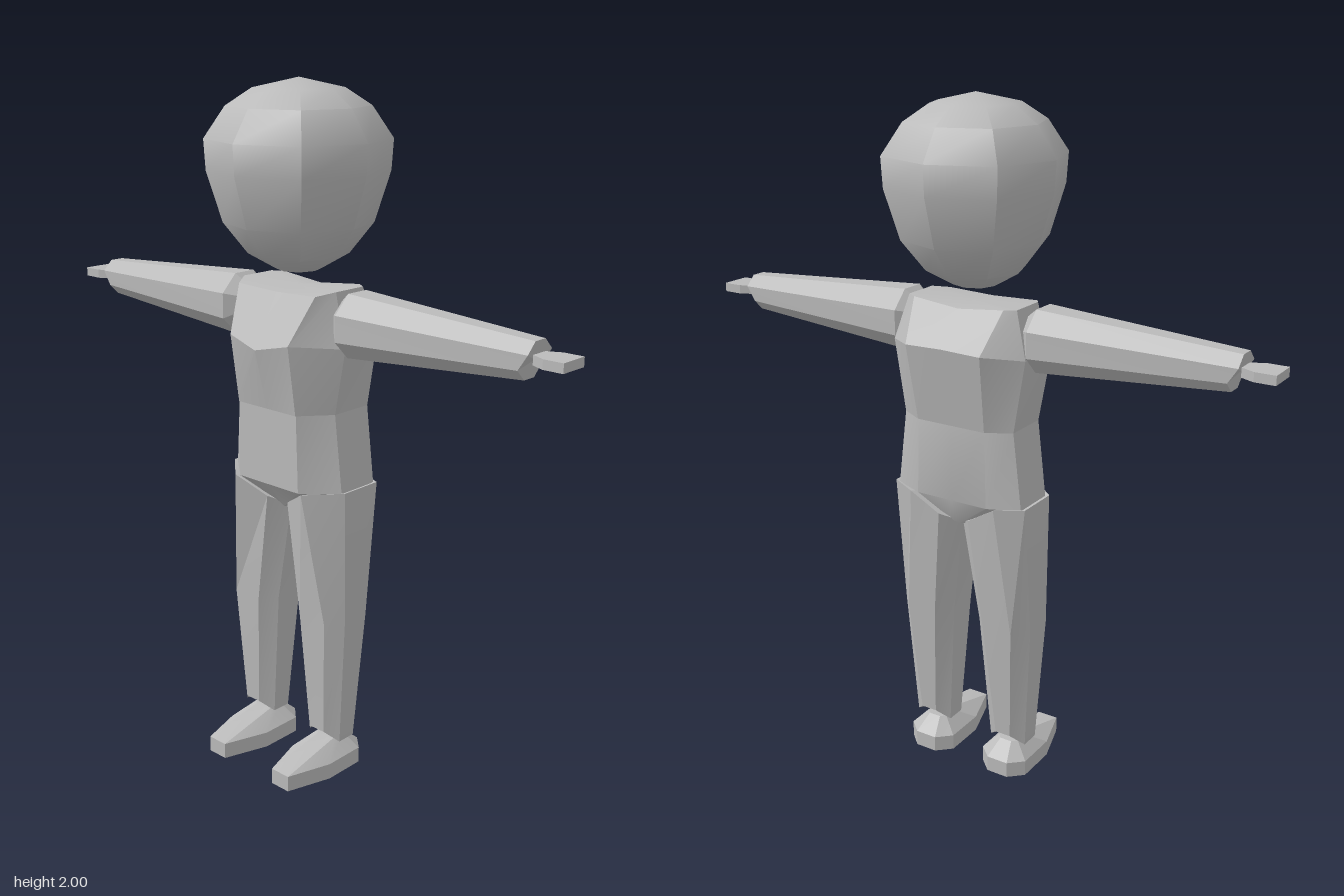
import * as THREE from 'three';
import { toCreasedNormals } from 'three/addons/utils/BufferGeometryUtils.js';

const skin = new THREE.MeshStandardMaterial({ color: 0xbbbbbb });
skin.name = 'plain grey';

// Skin a list of equal-length rings (counter-clockwise about the loft axis), closed by fans.
function loft(rings, crease = 0.3, lowTip, highTip) {
  const out = [];
  const tri = (a, b, c) => out.push(...a, ...b, ...c);
  const middle = ring => [0, 1, 2].map(k => ring.reduce((s, p) => s + p[k], 0) / ring.length);
  const n = rings[0].length;
  const first = rings[0], last = rings[rings.length - 1];
  const low = lowTip || middle(first), high = highTip || middle(last);
  for (let i = 0; i < n; i++) {
    const j = (i + 1) % n;
    for (let r = 0; r < rings.length - 1; r++) {
      const a = rings[r], b = rings[r + 1];
      tri(a[i], a[j], b[j]);
      tri(a[i], b[j], b[i]);
    }
    tri(first[j], first[i], low);
    tri(last[i], last[j], high);
  }
  const geo = new THREE.BufferGeometry();
  geo.setAttribute('position', new THREE.Float32BufferAttribute(out, 3));
  return toCreasedNormals(geo, crease);
}

// Complete a half ring that starts and ends on the centre line.
const fullRing = half => [...half, ...half.slice(1, -1).reverse().map(([x, y, z]) => [-x, y, z])];
// Mirror rings across x and keep them facing outwards.
const mirror = rings => rings.map(r => r.map(([x, y, z]) => [-x, y, z]).reverse());

export function createModel() {
  const model = new THREE.Group();
  model.name = 'figure';
  const add = (name, geo) => {
    const mesh = new THREE.Mesh(geo, skin);
    mesh.name = name;
    model.add(mesh);
  };
  const addPair = (name, rings, crease) => {
    add(name + 'Left', loft(rings, crease));
    add(name + 'Right', loft(mirror(rings), crease));
  };

  // Head: eight-sided ball, widest at the brow
  const headProfile = [[0.06, 1.487], [0.135, 1.53], [0.2, 1.615], [0.242, 1.755],
    [0.247, 1.84], [0.19, 1.926], [0.12, 1.973]];
  const headRings = headProfile.map(([r, y]) => Array.from({ length: 8 }, (_, i) => {
    const a = i * Math.PI / 4, q = i % 2 ? r * 1.04 : r;
    return [q * Math.sin(a), y, q * Math.cos(a)];
  }));
  add('head', loft(headRings, 0.62, [0, 1.475, 0], [0, 2, 0]));

  // Chest: swells forward and back, then narrows to the shoulders
  add('chest', loft([
    [[0, 1.11, 0.13], [0.11, 1.11, 0.13], [0.18, 1.11, 0.045], [0.18, 1.11, -0.09], [0.11, 1.11, -0.13], [0, 1.11, -0.13]],
    [[0, 1.285, 0.175], [0.11, 1.31, 0.16], [0.215, 1.3, 0.045], [0.215, 1.32, -0.09], [0.12, 1.335, -0.17], [0, 1.34, -0.175]],
    [[0, 1.435, 0.09], [0.145, 1.44, 0.09], [0.175, 1.45, 0.04], [0.175, 1.45, -0.07], [0.145, 1.45, -0.09], [0, 1.435, -0.09]],
  ].map(fullRing)));

  // Belly and hips, ending in the crotch
  add('hips', loft([
    [[0, 0.8, 0.06], [0.02, 0.81, 0.06], [0.1, 0.85, 0.03], [0.1, 0.85, -0.08], [0.03, 0.81, -0.09], [0, 0.8, -0.09]],
    [[0, 0.885, 0.125], [0.115, 0.885, 0.125], [0.207, 0.885, 0.045], [0.207, 0.885, -0.09], [0.115, 0.885, -0.128], [0, 0.885, -0.128]],
    [[0, 1.11, 0.128], [0.11, 1.11, 0.128], [0.18, 1.11, 0.045], [0.18, 1.11, -0.09], [0.11, 1.11, -0.128], [0, 1.11, -0.128]],
  ].map(fullRing), 0.6));

  // Legs: ankle, knee and hip sections
  addPair('leg', [
    [[0.11, 0.128, 0.063], [0.16, 0.128, 0.063], [0.195, 0.095, 0.03], [0.195, 0.095, -0.03],
      [0.16, 0.128, -0.06], [0.11, 0.128, -0.06], [0.075, 0.095, -0.03], [0.075, 0.095, 0.03]],
    [[0.085, 0.49, 0.085], [0.18, 0.49, 0.085], [0.22, 0.49, 0.04], [0.22, 0.49, -0.05],
      [0.18, 0.49, -0.095], [0.085, 0.49, -0.095], [0.045, 0.49, -0.05], [0.045, 0.49, 0.04]],
    [[0.04, 0.83, 0.09], [0.13, 0.885, 0.13], [0.22, 0.89, 0.045], [0.22, 0.89, -0.09],
      [0.14, 0.885, -0.13], [0.05, 0.83, -0.12], [0.002, 0.8, -0.07], [0.002, 0.8, 0.03]],
  ]);

  // Feet: wedge with a flat sole and a small top below the ankle
  const sole = y => [[0.1, y, 0.22], [0.165, y, 0.22], [0.207, y, 0.085], [0.207, y, -0.045],
    [0.165, y, -0.085], [0.097, y, -0.085], [0.055, y, -0.045], [0.055, y, 0.085]];
  addPair('foot', [sole(0), sole(0.048),
    [[0.112, 0.093, 0.035], [0.15, 0.093, 0.035], [0.165, 0.093, 0.02], [0.165, 0.093, -0.02],
      [0.15, 0.093, -0.035], [0.112, 0.093, -0.035], [0.098, 0.093, -0.02], [0.098, 0.093, 0.02]]]);

  // Arms: tapering octagons with a slanted wrist
  const armRing = (xTop, xLow, y, h, d) => Array.from({ length: 8 }, (_, i) => {
    const a = (i + 0.5) * Math.PI / 4, c = Math.cos(a) / Math.cos(Math.PI / 8);
    return [c > 0 ? xTop : xLow, y + h * c, d * Math.sin(a) / Math.cos(Math.PI / 8)];
  });
  addPair('arm', [
    armRing(0.17, 0.17, 1.37, 0.045, 0.045),
    armRing(0.215, 0.215, 1.363, 0.088, 0.088),
    armRing(0.797, 0.77, 1.365, 0.051, 0.052),
  ]);

  // Hands: flat mitts
  const mitt = y => [[0.795, y, 0.026], [0.835, y, 0.045], [0.893, y, 0.045],
    [0.893, y, -0.045], [0.835, y, -0.045], [0.795, y, -0.026]];
  addPair('hand', [mitt(1.357), mitt(1.383)]);

  return model;
}
